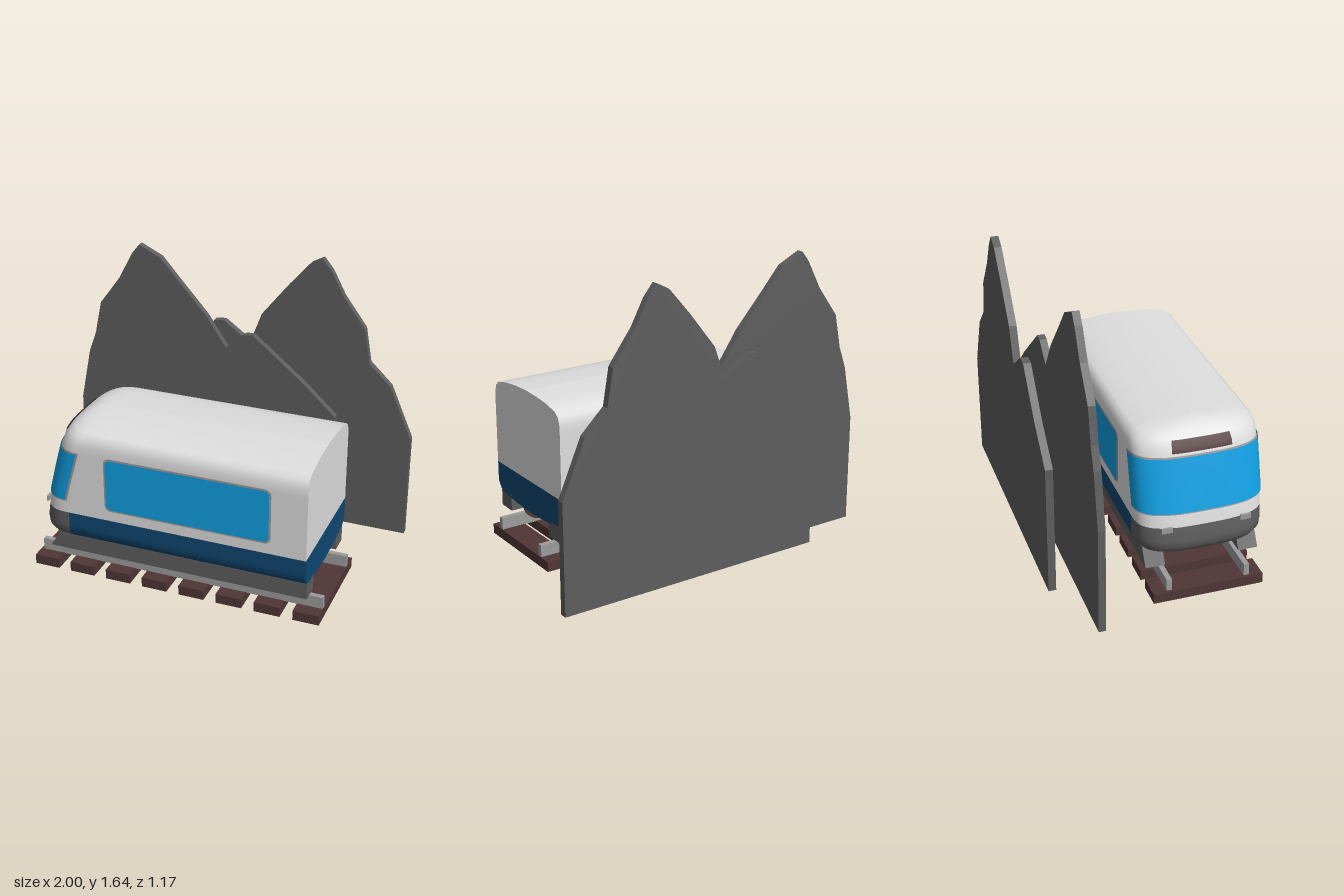
import * as THREE from 'three';

const mat = (name, color, side = THREE.FrontSide) => {
  const m = new THREE.MeshStandardMaterial({ color, side });
  m.name = name;
  return m;
};

const CZ = 0.225, REAR = 0.745, BELT = 0.41;

// Carriage levels: height, half width, nose tip x, x where the nose meets the straight side
const LEVELS = [
  [0.222, 0, -0.70, -0.615], [0.228, 0.15, -0.74, -0.615], [0.24, 0.27, -0.775, -0.615],
  [0.255, 0.325, -0.797, -0.615], [0.29, 0.352, -0.815, -0.615], [0.33, 0.355, -0.82, -0.615],
  [0.41, 0.355, -0.805, -0.615], [0.49, 0.355, -0.79, -0.60], [0.64, 0.355, -0.753, -0.56],
  [0.78, 0.355, -0.715, -0.52], [0.83, 0.353, -0.697, -0.50], [0.87, 0.34, -0.672, -0.48],
  [0.895, 0.31, -0.645, -0.46], [0.915, 0.22, -0.61, -0.44], [0.925, 0.12, -0.58, -0.42],
  [0.93, 0, -0.55, -0.40],
];

function levelAt(y) {
  let i = 1;
  while (i < LEVELS.length - 1 && LEVELS[i][0] < y) i++;
  const a = LEVELS[i - 1], b = LEVELS[i], t = (y - a[0]) / (b[0] - a[0]);
  return a.map((v, k) => v + (b[k] - v) * t);
}

// Point on the carriage skin: |u| < 1 wraps the nose, 1..2 runs along a side
function skin(y, u, off) {
  const [, w, nose, xc] = levelAt(y);
  const s = Math.sign(u), a = Math.abs(u);
  if (a >= 1) return [xc + (REAR - xc) * (a - 1), y, CZ + s * (w + off)];
  const th = a * Math.PI / 2, e = 2 / 3;
  return [xc - (xc - nose + off) * Math.cos(th) ** e, y, CZ + s * (w + off) * Math.sin(th) ** e];
}

// Patch of the carriage skin between two heights and two u values
function patch(y0, y1, u0, u1, off = 0) {
  const ys = [y0, ...LEVELS.map(l => l[0]).filter(y => y > y0 && y < y1), y1];
  const us = [u0];
  for (let i = -24; i <= 24; i++) if (i / 24 > u0 && i / 24 < u1) us.push(i / 24);
  us.push(u1);
  const pos = [], idx = [], n = us.length;
  for (const y of ys) for (const u of us) pos.push(...skin(y, u, off));
  for (let j = 0; j < ys.length - 1; j++) {
    for (let i = 0; i < n - 1; i++) {
      const a = j * n + i;
      idx.push(a, a + 1, a + n, a + 1, a + n + 1, a + n);
    }
  }
  const g = new THREE.BufferGeometry();
  g.setAttribute('position', new THREE.Float32BufferAttribute(pos, 3));
  g.setIndex(idx);
  g.computeVertexNormals();
  return g;
}

// Flat outline in the xy plane, thickened from z0 to z1
function plate(points, z0, z1) {
  const shape = new THREE.Shape(points.map(p => new THREE.Vector2(...p)));
  return new THREE.ExtrudeGeometry(shape, { depth: z1 - z0, bevelEnabled: false }).translate(0, 0, z0);
}

// End wall of the carriage between two heights
function endWall(y0, y1) {
  const half = LEVELS.filter(l => l[0] >= y0 && l[0] <= y1).map(l => [l[1], l[0]]);
  const pts = [...half, ...half.slice().reverse().map(([w, y]) => [-w, y])];
  const shape = new THREE.Shape(pts.map(p => new THREE.Vector2(...p)));
  return new THREE.ShapeGeometry(shape).rotateY(Math.PI / 2).translate(REAR, 0, CZ);
}

function roundedRect(x0, x1, y0, y1, r) {
  const s = new THREE.Shape();
  s.absarc(x1 - r, y1 - r, r, 0, Math.PI / 2);
  s.absarc(x0 + r, y1 - r, r, Math.PI / 2, Math.PI);
  s.absarc(x0 + r, y0 + r, r, Math.PI, Math.PI * 1.5);
  s.absarc(x1 - r, y0 + r, r, Math.PI * 1.5, Math.PI * 2);
  return new THREE.ShapeGeometry(s, 5);
}

export function createModel() {
  const root = new THREE.Group();
  root.name = 'trainScene';
  const white = mat('bodyWhite', 0xdedede, THREE.DoubleSide);
  const navy = mat('navyBlue', 0x0f4872, THREE.DoubleSide);
  const glass = mat('windowBlue', 0x109fe2, THREE.DoubleSide);
  const grey = mat('darkGrey', 0x5e5e5e, THREE.DoubleSide);
  const steel = mat('steelGrey', 0x9c9c9c, THREE.DoubleSide);
  const brown = mat('darkBrown', 0x503636, THREE.DoubleSide);

  const train = new THREE.Group();
  train.name = 'train';
  const track = new THREE.Group();
  track.name = 'track';
  root.add(train, track);
  const add = (parent, name, geometry, material) => {
    const m = new THREE.Mesh(geometry, material);
    m.name = name;
    parent.add(m);
    return m;
  };

  // Carriage shell
  add(train, 'upperBody', patch(BELT, 0.93, -2, 2), white);
  add(train, 'noseBumper', patch(0.222, BELT, -1, 1), grey);
  add(train, 'lowerBodyLeft', patch(0.222, BELT, 1, 2), navy);
  add(train, 'lowerBodyRight', patch(0.222, BELT, -2, -1), navy);
  add(train, 'upperEndWall', endWall(BELT, 1), white);
  add(train, 'lowerEndWall', endWall(0, BELT), navy);

  // Wraparound windscreen and destination board
  add(train, 'windscreenFrame', patch(0.482, 0.788, -0.975, 0.975, 0.003), steel);
  add(train, 'windscreen', patch(0.49, 0.78, -0.955, 0.955, 0.007), glass);
  add(train, 'destinationBoard', patch(0.805, 0.868, -0.2, 0.2, 0.009), brown);

  for (const s of [1, -1]) {
    // Side window with its frame
    const side = new THREE.Group();
    side.name = s > 0 ? 'leftSideWindow' : 'rightSideWindow';
    side.position.z = CZ + s * 0.355;
    train.add(side);
    add(side, 'windowFrame', roundedRect(-0.395, 0.55, 0.47, 0.79, 0.035), steel).position.z = s * 0.003;
    add(side, 'windowGlass', roundedRect(-0.385, 0.54, 0.48, 0.78, 0.03), glass).position.z = s * 0.006;

    // Headlight
    const lamp = add(train, 'headlight', new THREE.BoxGeometry(0.012, 0.03, 0.06), steel);
    lamp.position.set(-0.8, 0.405, CZ + s * 0.22);

    // Skirt under the body
    const z = CZ + s * 0.265;
    add(train, 'skirt', plate([[-0.755, 0.155], [REAR, 0.155], [REAR, 0.25], [-0.695, 0.25]], z - 0.055, z + 0.055), grey);

    // Flanged wheels
    for (const x of [-0.5, -0.145, 0.215, 0.575]) {
      const wheel = new THREE.Group();
      wheel.name = 'wheel';
      wheel.position.set(x, 0.184, CZ + s * 0.192);
      wheel.rotation.x = Math.PI / 2;
      train.add(wheel);
      add(wheel, 'flange', new THREE.CylinderGeometry(0.104, 0.104, 0.018, 32), brown);
      add(wheel, 'tread', new THREE.CylinderGeometry(0.06, 0.06, 0.03, 24), steel).position.y = s * 0.022;
    }

    // Rail
    const rail = add(track, 'rail', new THREE.BoxGeometry(1.66, 0.07, 0.03), steel);
    rail.position.set(-0.02, 0.09, CZ + s * 0.22);
  }

  // Sleepers
  for (let i = 0; i < 8; i++) {
    const sleeper = add(track, 'sleeper', new THREE.BoxGeometry(0.147, 0.057, 0.62), brown);
    sleeper.position.set(-0.793 + i * 0.219, 0.0285, CZ);
  }

  // Mountain cut-outs behind the train
  add(root, 'nearMountain', plate([
    [-1, 0], [0.59, 0], [0.59, 0.76], [0.4, 0.935], [0.09, 1.185], [0.04, 1.18], [-0.07, 1.085],
    [-0.14, 1.185], [-0.19, 1.26], [-0.37, 1.46], [-0.47, 1.575], [-0.6, 1.637], [-0.645, 1.58],
    [-0.73, 1.42], [-0.855, 1.25], [-0.895, 1.055], [-0.94, 0.93], [-1, 0.62],
  ], -0.432, -0.392), grey);
  add(root, 'farMountain', plate([
    [-0.59, 0], [1, 0], [1, 0.62], [0.865, 0.93], [0.735, 1.055], [0.7, 1.255], [0.57, 1.43],
    [0.495, 1.57], [0.44, 1.637], [0.37, 1.6], [0.24, 1.45], [0.09, 1.26], [0.02, 1.07],
    [-0.14, 1.185], [-0.2, 1.18], [-0.4, 0.94], [-0.59, 0.76],
  ], -0.585, -0.543), grey);

  return root;
}
